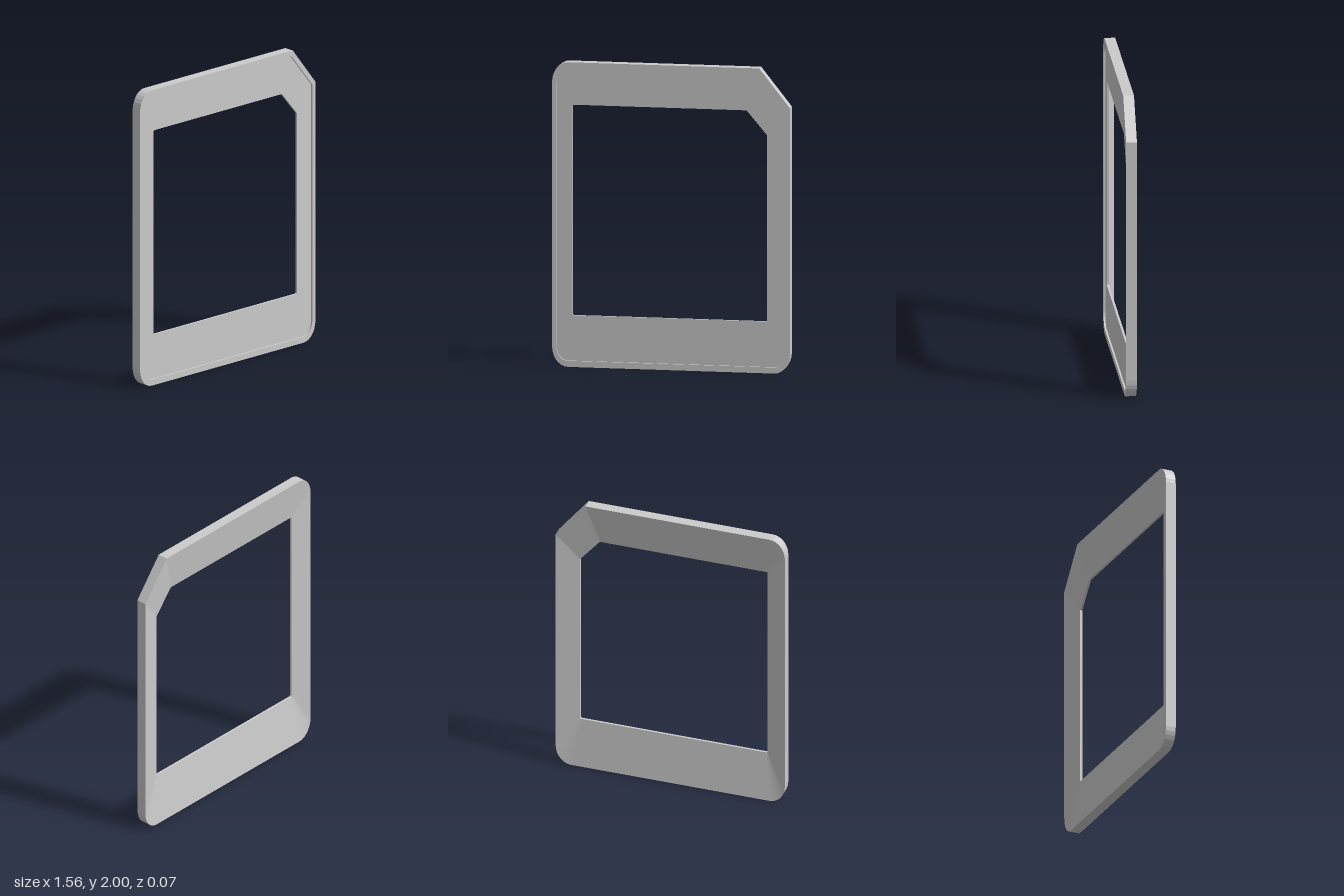
import * as THREE from 'three';

const STEPS = 7; // facets per rounded corner

// Counter-clockwise outline: three rounded corners and one cut corner (top, +x).
function outline({ x0, x1, y0, y1, rx, ry, cutX, cutY }, z) {
  const points = [];
  const corner = (cx, cy, start) => {
    for (let i = 0; i <= STEPS; i++) {
      const a = start + (i / STEPS) * Math.PI / 2;
      points.push([cx + rx * Math.cos(a), cy + ry * Math.sin(a), z]);
    }
  };
  corner(x0 + rx, y0 + ry, Math.PI);
  corner(x1 - rx, y0 + ry, Math.PI * 1.5);
  points.push([x1, cutY, z], [cutX, y1, z]);
  corner(x0 + rx, y1 - ry, Math.PI / 2);
  return points;
}

// Closed bands of faces joining successive outlines.
function loft(name, loops, material) {
  const pos = [];
  for (let k = 0; k + 1 < loops.length; k++) {
    const a = loops[k], b = loops[k + 1];
    a.forEach((p, i) => {
      const j = (i + 1) % a.length;
      pos.push(...p, ...a[j], ...b[j], ...p, ...b[j], ...b[i]);
    });
  }
  const geometry = new THREE.BufferGeometry();
  geometry.setAttribute('position', new THREE.Float32BufferAttribute(pos, 3));
  geometry.computeVertexNormals();
  const mesh = new THREE.Mesh(geometry, material);
  mesh.name = name;
  return mesh;
}

export function createModel() {
  const group = new THREE.Group();
  group.name = 'screenFrame';
  const material = new THREE.MeshStandardMaterial({ color: 0xcccccc, flatShading: true });

  const outer = { x0: -0.782, x1: 0.782, y0: 0, y1: 2, rx: 0.105, ry: 0.13, cutX: 0.58, cutY: 1.745 };
  const inset = { x0: -0.755, x1: 0.755, y0: 0.04, y1: 1.963, rx: 0.075, ry: 0.1, cutX: 0.567, cutY: 1.73 };
  const hole = { x0: -0.65, x1: 0.63, y0: 0.338, y1: 1.72, rx: 0.01, ry: 0.01, cutX: 0.495, cutY: 1.56 };

  const outerBack = outline(outer, -0.035);
  const outerFront = outline(outer, 0.035);
  const insetFront = outline(inset, 0.035);
  const insetFloor = outline(inset, 0.023);
  const holeFront = outline(hole, 0.023);
  const holeBack = outline(hole, 0.008);

  // Outer edge, raised front rim and the small step down inside it
  group.add(loft('rim', [outerBack, outerFront, insetFront, insetFloor], material));
  // Recessed flat front around the opening
  group.add(loft('frontPanel', [insetFloor, holeFront], material));
  // Thin edge of the opening
  group.add(loft('openingLip', [holeFront, holeBack], material));
  // Hollow back sloping from the opening out to the rear edge
  group.add(loft('slopedBack', [holeBack, outerBack], material));
  return group;
}
